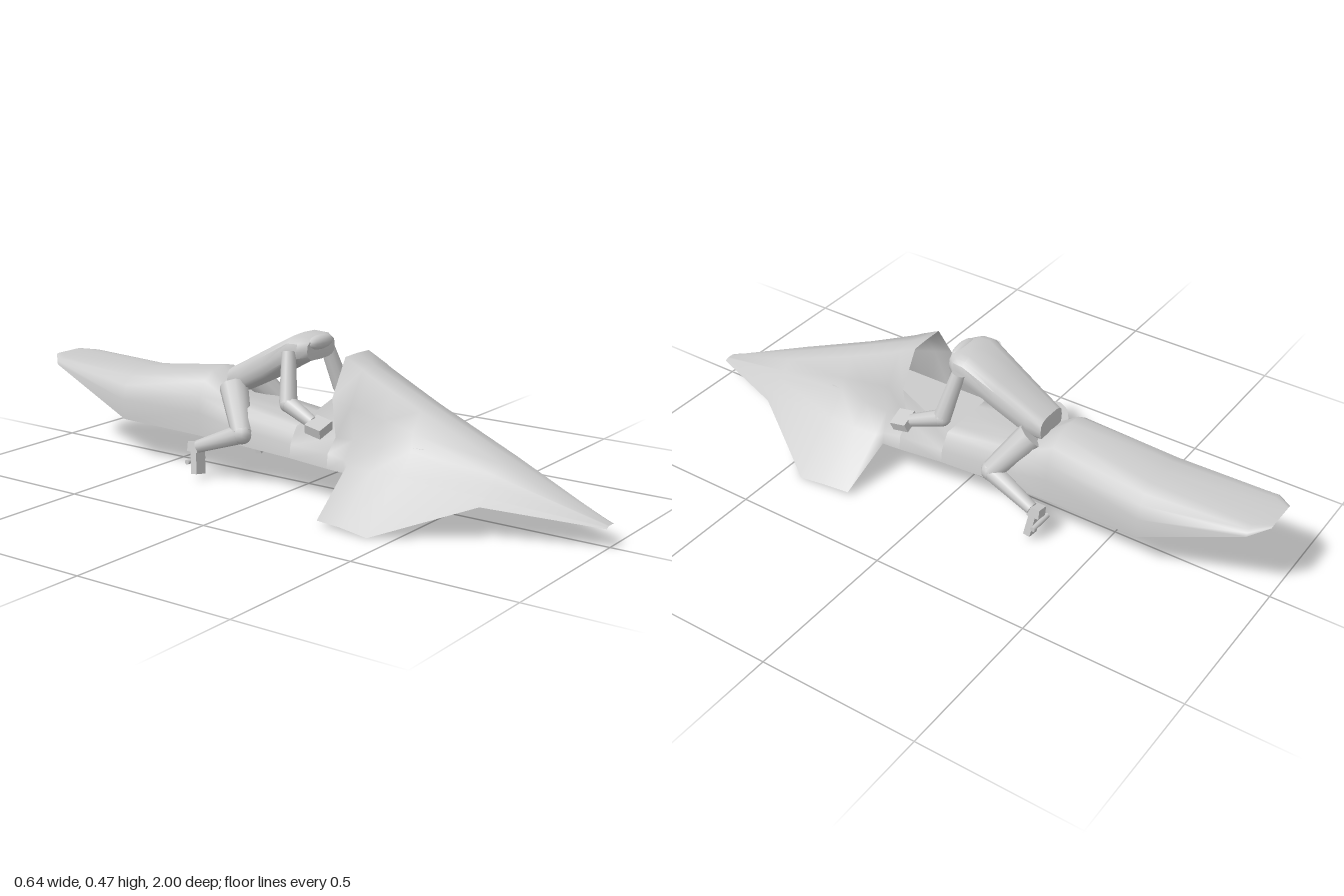
import * as THREE from 'three';
import { toCreasedNormals } from 'three/addons/utils/BufferGeometryUtils.js';

const material = new THREE.MeshStandardMaterial({ color: 0xcccccc, side: THREE.DoubleSide });
const V = (x, y, z) => new THREE.Vector3(x, y, z);

// Skin through stations [z, [[x, y], ...]]: half outlines running outwards from the top, mirrored in x
function skin(stations, crease) {
  const rows = stations.map(([z, half]) => half.map(([x, y]) => V(x, y, z)));
  const pos = [];
  const tri = (a, b, c) => {
    if (new THREE.Triangle(a, b, c).getArea() < 1e-7) return;
    for (const p of [a, b, c]) pos.push(p.x, p.y, p.z);
    for (const p of [a, c, b]) pos.push(-p.x, p.y, p.z);
  };
  for (let i = 0; i < rows.length - 1; i++) {
    for (let j = 0; j < rows[i].length - 1; j++) {
      tri(rows[i][j], rows[i][j + 1], rows[i + 1][j + 1]);
      tri(rows[i][j], rows[i + 1][j + 1], rows[i + 1][j]);
    }
  }
  const geo = new THREE.BufferGeometry();
  geo.setAttribute('position', new THREE.Float32BufferAttribute(pos, 3));
  return toCreasedNormals(geo, crease);
}

function add(parent, name, geo) {
  const mesh = new THREE.Mesh(geo, material);
  mesh.name = name;
  parent.add(mesh);
  return mesh;
}

// Tapered cylinder from a to b
function limb(parent, name, a, b, ra, rb, sides = 10) {
  const mesh = add(parent, name, new THREE.CylinderGeometry(rb, ra, a.distanceTo(b), sides));
  mesh.position.copy(a).lerp(b, 0.5);
  mesh.quaternion.setFromUnitVectors(V(0, 1, 0), b.clone().sub(a).normalize());
}

// Open-bottomed shell: top centre, top edge, shoulder, waist, wing root, wing tip or skirt hem
const cowl = [
  [1, [[0, 0.067], [0.008, 0.067], [0.014, 0.066], [0.018, 0.065], [0.022, 0.063], [0.025, 0.061]]],
  [0.69, [[0, 0.202], [0.045, 0.193], [0.08, 0.168], [0.105, 0.145], [0.138, 0.12], [0.165, 0.1]]],
  [0.43, [[0, 0.317], [0.052, 0.305], [0.098, 0.25], [0.105, 0.2], [0.165, 0.138], [0.322, 0.003]]],
  [0.34, [[0, 0.357], [0.056, 0.347], [0.107, 0.275], [0.105, 0.2], [0.165, 0.14], [0.32, 0.015]]],
  [0.255, [[0, 0.395], [0.059, 0.388], [0.117, 0.298], [0.105, 0.2], [0.165, 0.142], [0.312, 0.017]]],
  [0.235, [[0, 0.404], [0.059, 0.4], [0.119, 0.303], [0.105, 0.2], [0.15, 0.15], [0.157, 0.115]]],
  [0.175, [[0, 0.432], [0.06, 0.43], [0.125, 0.32], [0.108, 0.2], [0.147, 0.16], [0.153, 0.116]]],
];
// Side walls falling from the cowl to the seat, from the shoulder down
const cockpitSides = [
  cowl[6][1].slice(2),
  [[0.102, 0.21], [0.116, 0.19], [0.133, 0.16], [0.138, 0.12]],
].map((half, i) => [i ? 0.03 : 0.175, half]);

// Seat and tail fender
const tail = [
  [0.03, [[0, 0.21], [0.06, 0.21], [0.102, 0.21], [0.116, 0.19], [0.133, 0.16], [0.138, 0.12]]],
  [-0.23, [[0, 0.25], [0.06, 0.25], [0.095, 0.245], [0.115, 0.22], [0.125, 0.18], [0.127, 0.127]]],
  [-0.33, [[0, 0.33], [0.05, 0.322], [0.09, 0.295], [0.113, 0.25], [0.123, 0.2], [0.125, 0.129]]],
  [-0.635, [[0, 0.288], [0.06, 0.284], [0.1, 0.272], [0.122, 0.245], [0.131, 0.2], [0.128, 0.135]]],
  [-0.95, [[0, 0.291], [0.04, 0.29], [0.07, 0.288], [0.09, 0.285], [0.1, 0.278], [0.104, 0.268]]],
  [-1, [[0, 0.291], [0.02, 0.291], [0.035, 0.291], [0.045, 0.291], [0.053, 0.29], [0.057, 0.289]]],
];

// Half of a softened oval, for the rider's torso
function oval(cy, hw, hh) {
  const soft = (v) => Math.sign(v) * Math.pow(Math.abs(v), 0.62);
  return Array.from({ length: 9 }, (_, i) => {
    const t = (i / 8) * Math.PI;
    return [i % 8 ? hw * soft(Math.sin(t)) : 0, cy + hh * soft(Math.cos(t))];
  });
}

function buildSide(s) {
  const side = new THREE.Group();
  const P = (x, y, z) => V(s * x, y, z);
  // arm reaching forward to the bars
  const shoulder = P(0.093, 0.428, -0.005), elbow = P(0.136, 0.285, 0.025), wrist = P(0.152, 0.245, 0.125);
  limb(side, 'upperArm', shoulder, elbow, 0.021, 0.027);
  add(side, 'elbow', new THREE.SphereGeometry(0.027, 10, 8)).position.copy(elbow);
  limb(side, 'forearm', elbow, wrist, 0.026, 0.019);
  const hand = add(side, 'hand', new THREE.BoxGeometry(0.06, 0.03, 0.055));
  hand.position.copy(P(0.158, 0.238, 0.15));
  hand.rotation.set(0.2, 0, -s * 0.33);
  // folded leg
  const hip = P(0.06, 0.285, -0.24), knee = P(0.135, 0.165, -0.15), ankle = P(0.155, 0.105, -0.305);
  limb(side, 'thigh', hip, knee, 0.045, 0.032);
  add(side, 'knee', new THREE.SphereGeometry(0.032, 10, 8)).position.copy(knee);
  limb(side, 'shin', knee, ankle, 0.031, 0.02);
  // shoe pointing down, resting on a peg
  const shoe = add(side, 'shoe', new THREE.BoxGeometry(0.042, 0.085, 0.022));
  shoe.position.copy(P(0.153, 0.06, -0.31));
  shoe.rotation.set(-0.15, 0, s * 0.17);
  const heel = add(side, 'heel', new THREE.BoxGeometry(0.038, 0.03, 0.04));
  heel.position.copy(P(0.15, 0.1, -0.318));
  heel.rotation.z = s * 0.17;
  limb(side, 'footPeg', P(0.104, 0.057, -0.328), P(0.185, 0.057, -0.328), 0.008, 0.008, 8);
  return side;
}

export function createModel() {
  const model = new THREE.Group();
  add(model, 'cowlAndWings', skin(cowl, 1.3));
  add(model, 'cockpitSides', skin(cockpitSides, 1.3));
  add(model, 'seatAndTail', skin(tail, 1.3));
  // flat floor inside the cowl
  const floor = add(model, 'floor', new THREE.PlaneGeometry(0.206, 0.44));
  floor.rotation.x = -Math.PI / 2;
  floor.position.set(0, 0.21, 0.25);

  const rider = new THREE.Group();
  rider.name = 'rider';
  add(rider, 'torso', skin([
    [0.05, oval(0.43, 0, 0)],
    [0.045, oval(0.43, 0.07, 0.032)],
    [0.02, oval(0.43, 0.09, 0.04)],
    [-0.015, oval(0.425, 0.093, 0.047)],
    [-0.12, oval(0.367, 0.08, 0.05)],
    [-0.22, oval(0.315, 0.068, 0.048)],
    [-0.268, oval(0.302, 0.058, 0.036)],
    [-0.27, oval(0.302, 0, 0)],
  ], 0.7));
  // rounded collar stump
  const collar = add(rider, 'collar', new THREE.SphereGeometry(1, 14, 8));
  collar.scale.set(0.06, 0.022, 0.022);
  collar.position.set(0, 0.448, 0.04);
  for (const s of [1, -1]) {
    const limbs = buildSide(s);
    limbs.name = s > 0 ? 'leftLimbs' : 'rightLimbs';
    rider.add(limbs);
  }
  model.add(rider);
  return model;
}
